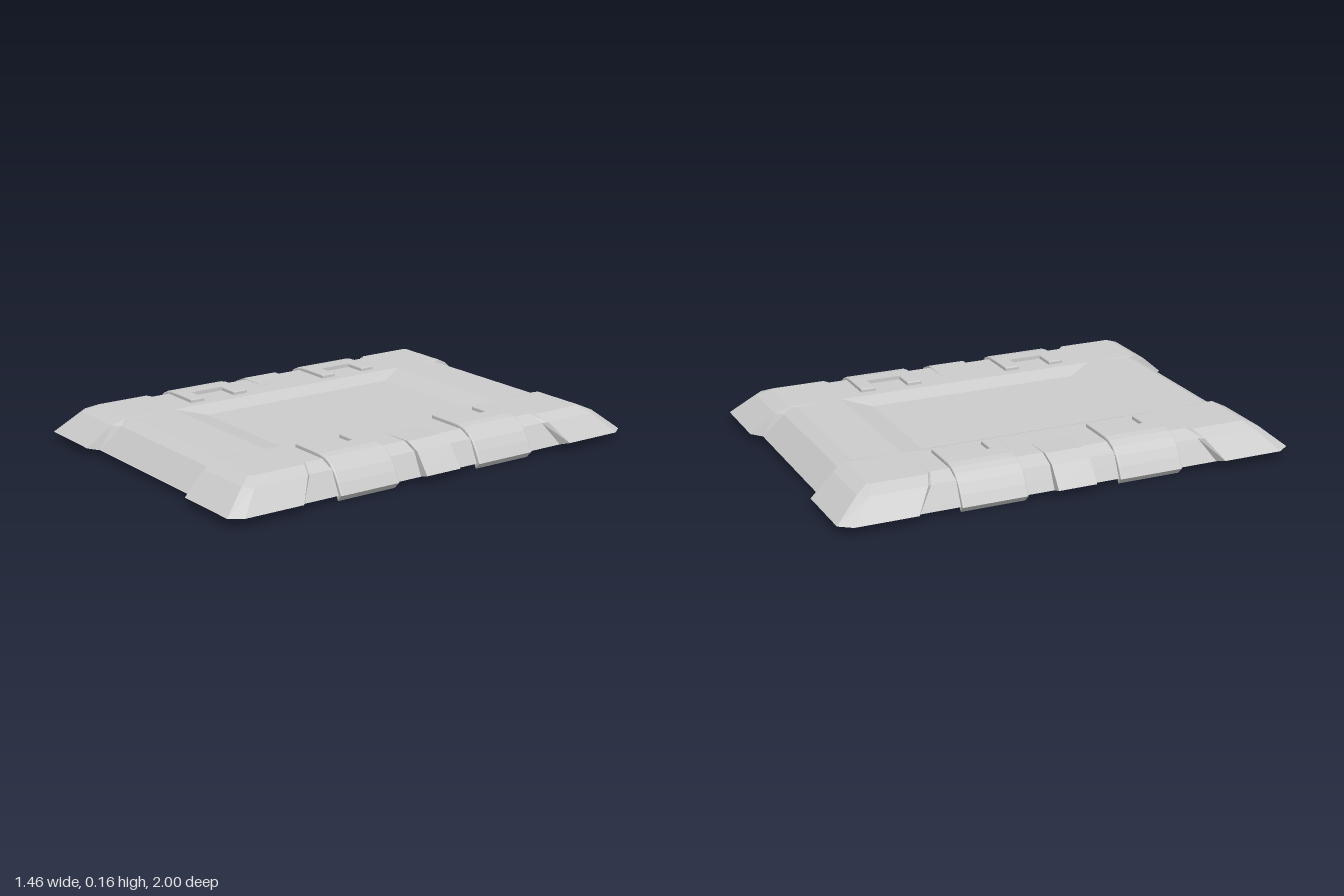
import * as THREE from 'three';
import { RoundedBoxGeometry } from 'three/addons/geometries/RoundedBoxGeometry.js';

const flat = new THREE.MeshStandardMaterial({ color: 0xcccccc, flatShading: true, side: THREE.DoubleSide });
const smooth = new THREE.MeshStandardMaterial({ color: 0xcccccc });

// Skin between rows of [x, y, z] points; mirror = true flips it in x
function skin(rows, mirror = false) {
  const pos = [];
  const v = p => new THREE.Vector3(mirror ? -p[0] : p[0], p[1], p[2]);
  const tri = (a, b, c) => {
    const [p, q, r] = (mirror ? [a, c, b] : [a, b, c]).map(v);
    const area = q.clone().sub(p).cross(r.clone().sub(p)).length();
    if (area > 1e-7) pos.push(...p.toArray(), ...q.toArray(), ...r.toArray());
  };
  for (let r = 0; r < rows.length - 1; r++) {
    for (let c = 0; c < rows[r].length - 1; c++) {
      const a = rows[r][c], b = rows[r][c + 1], d = rows[r + 1][c], e = rows[r + 1][c + 1];
      tri(a, b, e);
      tri(a, e, d);
    }
  }
  const g = new THREE.BufferGeometry();
  g.setAttribute('position', new THREE.Float32BufferAttribute(pos, 3));
  g.computeVertexNormals();
  return g;
}

// Closed rectangular ring with cut corners
function ring(hx, hz, cut, y) {
  const x = hx - cut, z = hz - cut;
  const pts = [[hx, z], [hx, -z], [x, -hz], [-x, -hz], [-hx, -z], [-hx, z], [-x, hz], [x, hz], [hx, z]];
  return pts.map(p => [p[0], y, p[1]]);
}

// Profile in x, y extruded along z and centred on z = 0
function slab(points, width, bevel) {
  const shape = new THREE.Shape(points.map(p => new THREE.Vector2(...p)));
  const g = new THREE.ExtrudeGeometry(shape, {
    depth: width - 2 * bevel, bevelEnabled: bevel > 0, bevelSize: bevel,
    bevelThickness: bevel, bevelOffset: -bevel, bevelSegments: 2,
  });
  return g.translate(0, 0, -width / 2 + bevel);
}

function add(parent, name, geometry, material, x = 0, y = 0, z = 0) {
  const m = new THREE.Mesh(geometry, material);
  m.name = name;
  m.position.set(x, y, z);
  parent.add(m);
  return m;
}

export function createModel() {
  const model = new THREE.Group();
  model.name = 'caseLid';

  // Open shell with bevelled rim and sunken panel
  add(model, 'lidShell', skin([
    ring(0.69, 0.95, 0.04, 0.025),
    ring(0.645, 0.86, 0.03, 0.12),
    ring(0.58, 0.805, 0.01, 0.148),
    ring(0.35, 0.6, 0, 0.148),
    ring(0.28, 0.48, 0, 0.12),
    ring(0, 0, 0, 0.12),
  ]), flat);

  // Corner guard: lip, lower edge, bevel edge, top edge, inner point
  const cornerRows = [
    [[0.37, 0.025, 0.95], [0.37, 0.025, 0.95], [0.65, 0.025, 0.95], [0.69, 0.025, 0.91], [0.69, 0.025, 0.66], [0.69, 0.025, 0.66]],
    [[0.37, 0.025, 0.95], [0.39, 0.037, 1.0], [0.69, 0.037, 1.0], [0.73, 0.037, 0.945], [0.73, 0.037, 0.68], [0.69, 0.025, 0.66]],
    [[0.345, 0.12, 0.86], [0.365, 0.124, 0.895], [0.63, 0.124, 0.895], [0.663, 0.124, 0.86], [0.663, 0.124, 0.615], [0.645, 0.12, 0.595]],
    [[0.335, 0.148, 0.805], [0.347, 0.15, 0.84], [0.59, 0.15, 0.84], [0.604, 0.15, 0.825], [0.604, 0.15, 0.59], [0.58, 0.148, 0.572]],
    Array(6).fill([0.35, 0.15, 0.597]),
  ];

  // Clasp plate and middle strap, as profiles wrapping over the side
  const plate = slab([
    [0.49, 0.14], [0.49, 0.164], [0.56, 0.163], [0.595, 0.157], [0.63, 0.141], [0.66, 0.112],
    [0.685, 0.073], [0.708, 0.028], [0.68, 0], [0.667, 0.03], [0.64, 0.108], [0.57, 0.14],
  ], 0.285, 0.006);
  const arm = new RoundedBoxGeometry(0.14, 0.028, 0.068, 2, 0.006);
  const strap = slab([
    [0.46, 0.147], [0.46, 0.1485], [0.6, 0.151], [0.663, 0.124], [0.73, 0.037],
    [0.69, 0.025], [0.64, 0.115], [0.575, 0.143],
  ], 0.17, 0);

  // Each half turn places one side and its two corners
  for (const side of ['left', 'right']) {
    const half = new THREE.Group();
    half.name = side + 'Side';
    half.rotation.y = side === 'left' ? 0 : Math.PI;
    add(half, 'cornerGuard', skin(cornerRows), flat);
    add(half, 'oppositeCornerGuard', skin(cornerRows, true), flat);
    add(half, 'middleStrap', strap, flat);
    for (const z of [-0.347, 0.347]) {
      const clasp = new THREE.Group();
      clasp.name = 'clasp';
      clasp.position.z = z;
      add(clasp, 'claspPlate', plate, flat);
      for (const s of [-1, 1]) add(clasp, 'claspArm', arm, smooth, 0.462, 0.15, s * 0.1085);
      half.add(clasp);
    }
    model.add(half);
  }
  return model;
}
